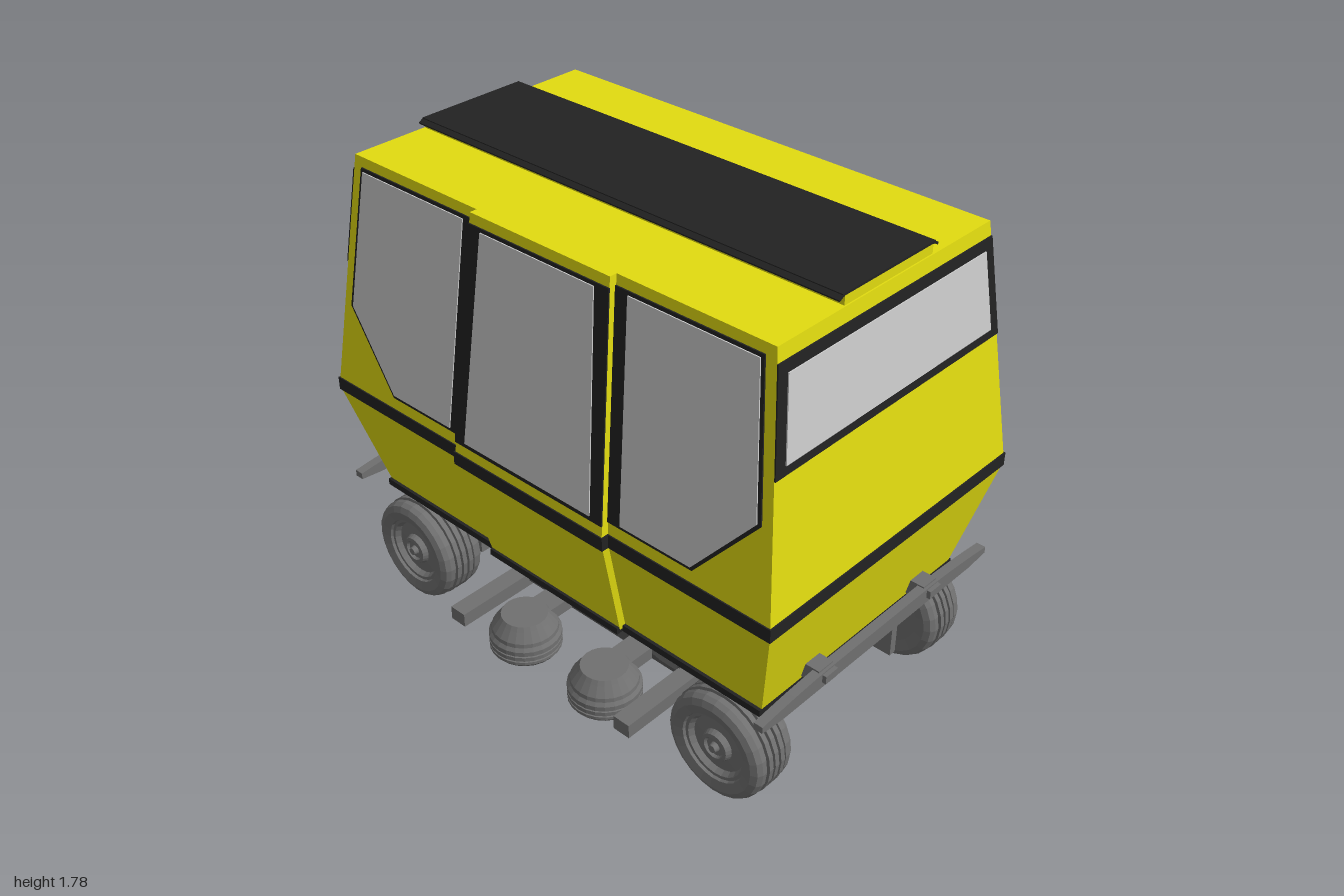
import * as THREE from 'three';

const mat = (color) => new THREE.MeshStandardMaterial({ color });
const yellow = mat(0xe2dc10), black = mat(0x222222), glass = mat(0xcccccc), grey = mat(0x707070), dark = mat(0x565656);

// half width and half length of the cabin at height y
const levels = [[0.43, 0.5, 0.895], [0.84, 0.605, 0.995], [0.89, 0.605, 0.995], [1.75, 0.505, 0.895]];
function cabinAt(y, k) {
  let i = 0;
  while (i < 2 && y > levels[i + 1][0]) i++;
  const a = levels[i], b = levels[i + 1];
  return a[k] + (b[k] - a[k]) * (y - a[0]) / (b[0] - a[0]);
}

export function createModel() {
  const model = new THREE.Group();
  const add = (name, geometry, material, x = 0, y = 0, z = 0) => {
    const m = new THREE.Mesh(geometry, material);
    m.name = name;
    m.position.set(x, y, z);
    model.add(m);
    return m;
  };
  const box = (name, w, h, d, x, y, z, material = grey) =>
    add(name, new THREE.BoxGeometry(w, h, d), material, x, y, z);

  // stack of rectangles [y, x0, x1, z0, z1] joined into a closed solid
  const loft = (name, rows, material) => {
    const p = [];
    const ring = ([y, x0, x1, z0, z1]) => [[x0, y, z1], [x1, y, z1], [x1, y, z0], [x0, y, z0]];
    const quad = (a, b, c, d) => p.push(...a, ...b, ...c, ...a, ...c, ...d);
    const rings = rows.map(ring);
    for (let i = 0; i < rings.length - 1; i++)
      for (let j = 0; j < 4; j++) {
        const k = (j + 1) % 4;
        quad(rings[i][j], rings[i][k], rings[i + 1][k], rings[i + 1][j]);
      }
    const [a, b, c, d] = rings[0];
    quad(d, c, b, a);
    quad(...rings[rings.length - 1]);
    const g = new THREE.BufferGeometry();
    g.setAttribute('position', new THREE.Float32BufferAttribute(p, 3));
    g.computeVertexNormals();
    return add(name, g, material);
  };

  // thin plate lying on a sloped cabin wall; angle picks the wall
  const panel = (name, pts, angle, material, lift = 0, depth = 0.005) => {
    const shape = new THREE.Shape(pts.map(([u, y]) => new THREE.Vector2(u, y)));
    const g = new THREE.ExtrudeGeometry(shape, { depth, bevelEnabled: false });
    const pos = g.attributes.position;
    const k = Math.abs(Math.sin(angle)) > 0.5 ? 1 : 2;
    for (let i = 0; i < pos.count; i++)
      pos.setZ(i, pos.getZ(i) + lift + cabinAt(pos.getY(i), k));
    g.rotateY(angle);
    g.computeVertexNormals();
    return add(name, g, material);
  };

  // cabin shell, belt and floor
  loft('cabin', levels.map(([y, x, z]) => [y, -x, x, -z, z]), yellow);
  loft('belt', [0.84, 0.89].map((y) => [y, -0.61, 0.61, -1, 1]), black);
  box('floor', 1.03, 0.025, 1.8, 0, 0.43, 0, black);

  // roof hatch strip with turned-down edges
  box('roofRib', 0.42, 0.04, 1.78, 0, 1.762, 0, yellow);
  box('roofStrip', 0.44, 0.01, 1.78, 0, 1.785, 0, black);
  for (const s of [-1, 1]) {
    box('roofStripEdge', 0.025, 0.008, 1.78, s * 0.224, 1.78, 0, black).rotation.z = -s * 0.5;
  }

  // side windows on both walls
  const frame = [[-0.69, 0.935], [0.69, 0.935], [0.92, 1.2], [0.86, 1.715], [-0.86, 1.715], [-0.92, 1.2]];
  const endPane = [[0.395, 0.947], [0.685, 0.947], [0.906, 1.203], [0.849, 1.703], [0.355, 1.703]];
  const midPane = [[-0.29, 0.947], [0.29, 0.947], [0.245, 1.703], [-0.245, 1.703]];
  const mirror = (pts) => pts.map(([u, y]) => [-u, y]).reverse();
  for (const s of [-1, 1]) {
    const a = s * Math.PI / 2;
    panel('sideWindowFrame', frame, a, black);
    panel('sideWindow', endPane, a, glass, 0.004);
    panel('sideWindow', mirror(endPane), a, glass, 0.004);
    panel('middleWindow', midPane, a, glass, s < 0 ? 0.031 : 0.004);
  }

  // sliding door standing proud of the right wall
  const doorHalf = [0.31, 0.345, 0.342, 0.3];
  loft('door', levels.map(([y, x], i) => [y, -x - 0.027, -0.4, -doorHalf[i], doorHalf[i]]), yellow);
  loft('doorBelt', [0.84, 0.89].map((y) => [y, -0.637, -0.5, -0.347, 0.347]), black);
  panel('doorWindowFrame', [[-0.341, 0.93], [0.341, 0.93], [0.303, 1.715], [-0.303, 1.715]],
    -Math.PI / 2, black, 0.027);
  box('doorStep', 0.04, 0.025, 0.62, -0.52, 0.43, 0, black);

  // end windows, bumpers and their brackets
  const bumper = new THREE.Shape();
  bumper.moveTo(-0.6, 0.462);
  bumper.lineTo(-0.5, 0.452);
  bumper.lineTo(0.5, 0.452);
  bumper.lineTo(0.6, 0.462);
  bumper.lineTo(0.6, 0.487);
  bumper.quadraticCurveTo(0.4, 0.51, 0.25, 0.51);
  bumper.lineTo(-0.25, 0.51);
  bumper.quadraticCurveTo(-0.4, 0.51, -0.6, 0.487);
  const bumperGeo = new THREE.ExtrudeGeometry(bumper, { depth: 0.035, bevelEnabled: false });
  for (const s of [1, -1]) {
    const a = s > 0 ? 0 : Math.PI;
    panel('endWindowFrame', [[-0.551, 1.355], [0.551, 1.355], [0.511, 1.7], [-0.511, 1.7]], a, black);
    panel('endWindow', [[-0.505, 1.387], [0.505, 1.387], [0.474, 1.662], [-0.474, 1.662]], a, glass, 0.004);
    add('bumper', bumperGeo, grey, 0, 0, s > 0 ? 0.945 : -0.98);
    for (const x of [-0.28, 0.28]) {
      box('bumperBracket', 0.07, 0.06, 0.1, x, 0.485, s * 0.92);
      box('bumperClip', 0.06, 0.03, 0.02, x, 0.49, s * 0.985);
    }
  }

  // rear lamps
  for (const s of [-1, 1]) {
    const x0 = s * 0.435 - 0.085, x1 = x0 + 0.17;
    panel('rearLampRim', [[x0, 0.71], [x1, 0.71], [x1, 0.785], [x0, 0.785]], Math.PI, grey, 0, 0.018);
    panel('rearLamp', [[x0 + 0.01, 0.72], [x1 - 0.01, 0.72], [x1 - 0.01, 0.775], [x0 + 0.01, 0.775]],
      Math.PI, glass, 0.015);
  }

  // road wheel: grooved tyre, dished rim and hub, turned about its axle
  const lathe = (pts, n) => {
    const g = new THREE.LatheGeometry(pts.map(([r, y]) => new THREE.Vector2(r, y)), n).toNonIndexed();
    g.computeVertexNormals();
    return g;
  };
  const tread = [];
  for (let i = 0; i < 5; i++) {
    const y = -0.065 + i * 0.028, r = i % 4 ? 0.2 : 0.196;
    tread.push([r, y], [r, y + 0.018], [0.189, y + 0.02], [0.189, y + 0.026]);
  }
  tread.pop();
  tread.pop();
  const tyreGeo = lathe([[0.125, -0.085], [0.165, -0.093], [0.187, -0.083], ...tread,
    [0.187, 0.083], [0.165, 0.093], [0.13, 0.085], [0.125, 0.07]], 24);
  const rimGeo = lathe([[0, -0.09], [0.125, -0.085], [0.13, 0.075], [0.115, 0.075], [0.105, 0.055],
    [0.06, 0.06], [0.052, 0.08], [0.04, 0.082], [0.035, 0.072], [0.018, 0.072], [0.014, 0.09], [0, 0.09]], 24);

  // guide wheel with domed motor cap, spinning about the vertical
  const guideGeo = lathe([[0, 0.05], [0.05, 0.05], [0.055, 0.065], [0.085, 0.065], [0.09, 0.042], [0.122, 0.042],
    [0.132, 0.055], [0.132, 0.066], [0.126, 0.069], [0.132, 0.072], [0.132, 0.088], [0.126, 0.091],
    [0.132, 0.094], [0.132, 0.112], [0.122, 0.125], [0.12, 0.14], [0.095, 0.175], [0.085, 0.19], [0, 0.19]], 24);

  for (const sz of [-1, 1]) {
    const z = sz * 0.745;
    // axle beam and linkage
    box('axleBeam', 0.7, 0.09, 0.1, 0, 0.23, z);
    box('axleTop', 0.66, 0.035, 0.15, 0, 0.285, z);
    box('axleSkirt', 0.62, 0.07, 0.04, 0, 0.15, sz * 0.66);
    // guide wheel outrigger and centre column
    box('outrigger', 1.26, 0.055, 0.07, 0, 0.13, sz * 0.41);
    box('centreColumn', 0.08, 0.29, 0.2, 0, 0.29, sz * 0.22);
    for (const sx of [-1, 1]) {
      const wheel = new THREE.Group();
      wheel.name = 'roadWheel';
      for (const [name, g, m] of [['tyre', tyreGeo, grey], ['rim', rimGeo, grey]]) {
        const part = new THREE.Mesh(g, m);
        part.name = name;
        wheel.add(part);
      }
      wheel.rotation.z = -sx * Math.PI / 2;
      wheel.position.set(sx * 0.468, 0.205, z);
      model.add(wheel);
      box('axleFlange', 0.03, 0.32, 0.12, sx * 0.355, 0.21, z);
      box('trailingArm', 0.05, 0.06, 0.4, sx * 0.29, 0.2, sz * 0.55);
      add('guideWheel', guideGeo, grey, sx * 0.495, 0, sz * 0.2);
      box('guideArm', 0.34, 0.05, 0.1, sx * 0.36, 0.15, sz * 0.2);
      // upright carrying the floor, flared at its top
      loft('upright', [[0.14, 0.235, 0.31], [0.34, 0.235, 0.31], [0.42, 0.235, 0.36]].map(([y, a, b]) =>
        [y, sx > 0 ? a : -b, sx > 0 ? b : -a, sz > 0 ? 0.075 : -0.37, sz > 0 ? 0.37 : -0.075]), grey);
    }
  }

  // bogie rails and under-plate
  for (const s of [-1, 1]) box('bogieRail', 0.06, 0.06, 1.5, s * 0.2, 0.13, 0);
  box('bogiePlate', 0.62, 0.05, 0.76, 0, 0.15, 0, dark);
  return model;
}
